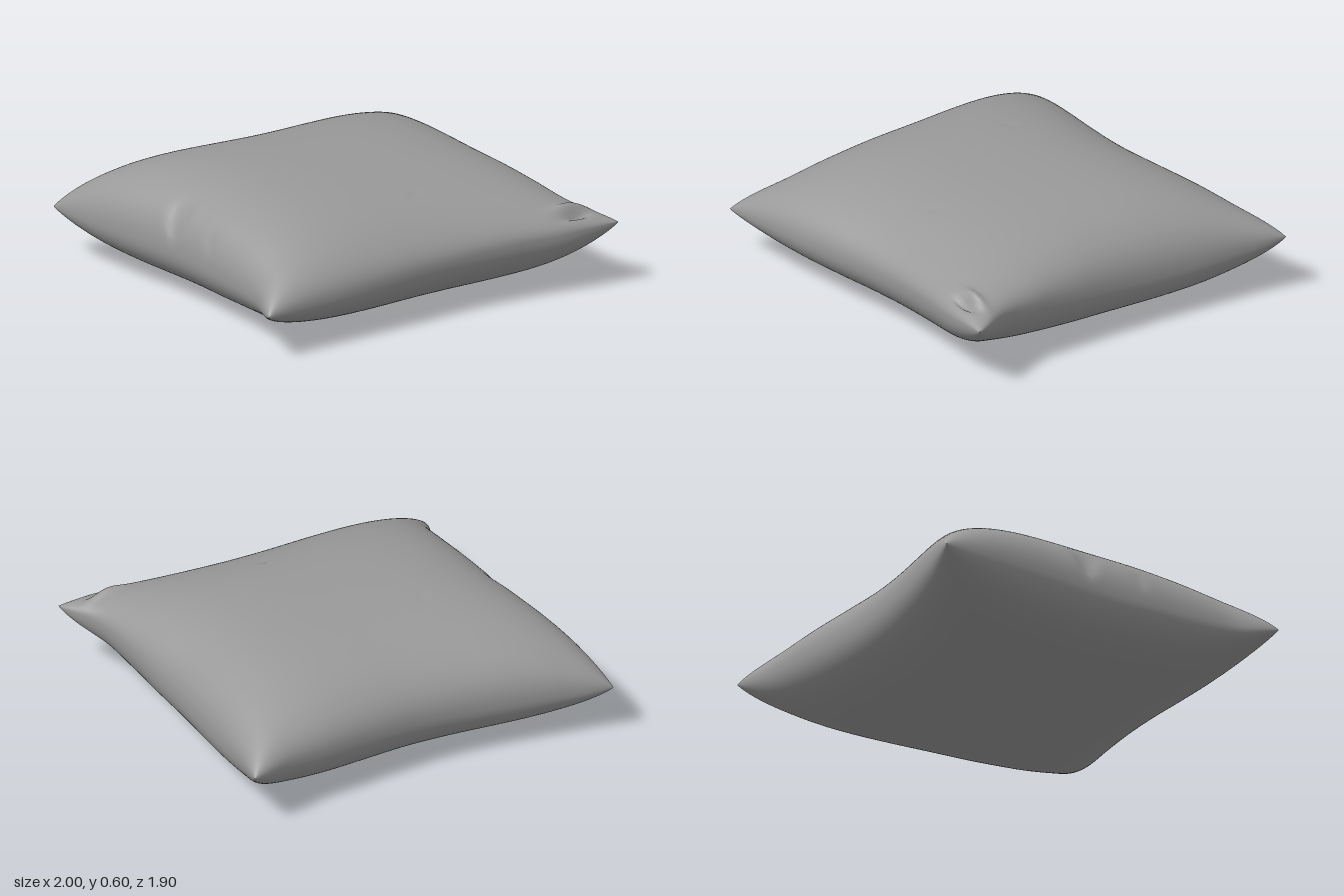
import * as THREE from 'three';
import { mergeGeometries, mergeVertices } from 'three/addons/utils/BufferGeometryUtils.js';

// Smooth function on [-1, 1] through evenly spaced values
function profile(values) {
  const curve = new THREE.SplineCurve(values.map((v, i) => new THREE.Vector2(i, v)));
  return (s) => curve.getPoint((s + 1) / 2).y;
}

// Outline of the seam: x of the side edges, z of the back and front edges
const leftX = profile([-0.965, -0.95, -0.925, -0.9, -0.885, -0.887, -0.893, -0.92, -0.998]);
const rightX = profile([0.995, 0.955, 0.93, 0.912, 0.9, 0.9, 0.9, 0.915, 0.998]);
const backZ = profile([-0.952, -0.905, -0.86, -0.825, -0.81, -0.822, -0.845, -0.87, -0.92]);
const frontZ = profile([0.89, 0.885, 0.88, 0.87, 0.86, 0.865, 0.89, 0.93, 0.945]);

// Seam height along the side edges
const leftY = profile([0.25, 0.26, 0.26, 0.25, 0.23]);
const rightY = profile([0.29, 0.255, 0.265, 0.31, 0.325]);

// Small folds and dimples on the upper side: x, z, radius x, radius z, height
const folds = [
  [0.8, 0.825, 0.09, 0.025, 0.025],
  [0.8, 0.872, 0.07, 0.02, -0.035],
  [-0.86, -0.1, 0.05, 0.045, -0.045],
  [-0.82, -0.05, 0.03, 0.025, -0.015],
  [-0.865, 0.2, 0.03, 0.03, -0.02],
  [0.11, 0.52, 0.03, 0.015, -0.008],
  [-0.31, -0.27, 0.03, 0.015, -0.008],
];

// One fabric panel, puffed up (side = 1) or down (side = -1) from the seam
function panel(side) {
  const geo = new THREE.PlaneGeometry(2, 2, 96, 96).rotateX(-side * Math.PI / 2);
  geo.deleteAttribute('uv');
  geo.deleteAttribute('normal');
  const pos = geo.attributes.position;
  const { lerp } = THREE.MathUtils;
  for (let i = 0; i < pos.count; i++) {
    // rows crowd towards the seam, where the cloth curves most
    const u = Math.sin(pos.getX(i) * Math.PI / 2);
    const v = Math.sin(pos.getZ(i) * Math.PI / 2);
    const x = lerp(leftX(v), rightX(v), (u + 1) / 2);
    const z = lerp(backZ(u), frontZ(u), (v + 1) / 2);
    const seam = lerp(leftY(v), rightY(v), (u + 1) / 2);
    const puff = Math.max(0, (1 - u ** 4) * (1 - v ** 4)) ** 0.45;
    const crown = side > 0
      ? 0.595 - 0.08 * (v + 0.2) ** 2 - 0.015 * u
      : 0.02 * (v + 0.25) ** 2;
    let y = lerp(seam, crown, puff);
    if (side > 0) {
      for (const [fx, fz, rx, rz, h] of folds) {
        y += h * Math.min(1, 3 * puff) * Math.exp(-(((x - fx) / rx) ** 2) - ((z - fz) / rz) ** 2);
      }
    }
    pos.setXYZ(i, x, y, z);
  }
  return geo;
}

export function createModel() {
  const group = new THREE.Group();
  group.name = 'pillow';

  const fabric = new THREE.MeshStandardMaterial({ color: 0x999999 });
  fabric.name = 'grey fabric';

  // Both panels welded along the seam into one smooth cushion
  const geo = mergeVertices(mergeGeometries([panel(1), panel(-1)]), 1e-5);
  geo.computeVertexNormals();
  const cushion = new THREE.Mesh(geo, fabric);
  cushion.name = 'cushion';
  group.add(cushion);

  return group;
}
